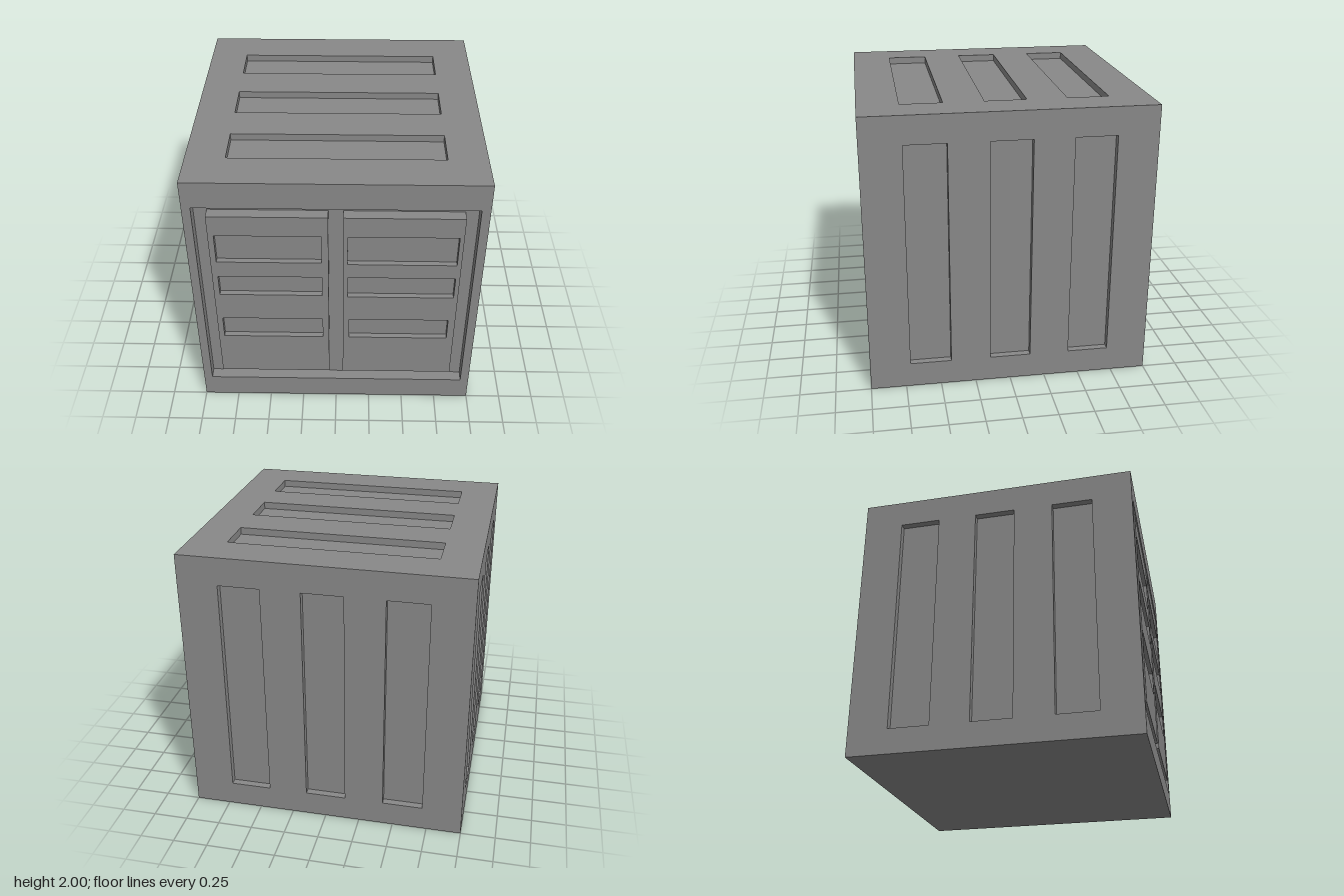
import * as THREE from 'three';
import { mergeGeometries } from 'three/addons/utils/BufferGeometryUtils.js';

const material = new THREE.MeshStandardMaterial({ color: 0x888888, flatShading: true });

// Rectangles are [left, bottom, right, top]; corners run anticlockwise
const corners = ([l, b, r, t]) => [[l, b], [r, b], [r, t], [l, t]];
const points = (rect) => corners(rect).map(([x, y]) => new THREE.Vector2(x, y));

function quads(list) {
  const g = new THREE.BufferGeometry();
  const pos = list.flatMap(([a, b, c, d]) => [a, b, c, a, c, d].flat());
  g.setAttribute('position', new THREE.Float32BufferAttribute(pos, 3));
  return g;
}

// Four walls around a loop of corners, from z0 (near) to z1 (far)
const walls = (loop, z0, z1) => loop.map((p, i) => {
  const q = loop[(i + 1) % 4];
  return [[...p, z1], [...q, z1], [...q, z0], [...p, z0]];
});

// Flat face at z = 1 with sunken rectangular pockets; rim adds outer walls behind it
function pocketedFace(name, outer, pockets, depth, rim = 0) {
  const shape = new THREE.Shape(points(outer));
  const list = rim ? walls(corners(outer), 1, 1 - rim) : [];
  for (const rect of pockets) {
    const loop = corners(rect);
    shape.holes.push(new THREE.Path(points(rect).reverse()));
    list.push(...walls([...loop].reverse(), 1, 1 - depth));
    list.push(loop.map((p) => [...p, 1 - depth]));
  }
  const flat = new THREE.ShapeGeometry(shape).toNonIndexed().translate(0, 0, 1);
  flat.deleteAttribute('uv');
  flat.deleteAttribute('normal');
  const geometry = list.length ? mergeGeometries([flat, quads(list)]) : flat;
  geometry.computeVertexNormals();
  const mesh = new THREE.Mesh(geometry, material);
  mesh.name = name;
  return mesh;
}

export function createModel() {
  const model = new THREE.Group();
  model.name = 'container';
  const body = new THREE.Group();
  body.name = 'body';
  body.position.y = 1; // faces are laid out around the cube's centre
  model.add(body);

  const full = [-1, -1, 1, 1];
  const bands = [[-0.715, -0.425], [-0.145, 0.145], [0.425, 0.715]];
  const upright = bands.map(([a, b]) => [a, -0.82, b, 0.8]);
  const lengthwise = bands.map(([a, b]) => [-0.73, a, 0.73, b]);
  const recess = 0.08, groove = 0.05;

  // Cube faces: door recess in front, three grooves on the sides, back and roof
  const front = pocketedFace('frontFrame', full, [[-0.94, -0.82, 0.94, 0.8]], recess);
  const back = pocketedFace('backWall', full, upright, groove);
  back.rotation.y = Math.PI;
  const left = pocketedFace('leftWall', full, upright, groove);
  left.rotation.y = Math.PI / 2;
  const right = pocketedFace('rightWall', full, upright, groove);
  right.rotation.y = -Math.PI / 2;
  const roof = pocketedFace('roof', full, lengthwise, groove);
  roof.rotation.x = -Math.PI / 2;
  const floor = pocketedFace('floor', full, [], 0);
  floor.rotation.x = Math.PI / 2;
  body.add(front, back, left, right, roof, floor);

  // Pair of doors, flush with the frame, each with three sunken panels
  body.add(pocketedFace('rightDoor', [-0.85, -0.73, -0.05, 0.73], [
    [-0.81, 0.34, -0.095, 0.57],
    [-0.81, 0.04, -0.095, 0.21],
    [-0.81, -0.37, -0.095, -0.19],
  ], 0.04, recess));
  body.add(pocketedFace('leftDoor', [0.05, -0.73, 0.85, 0.73], [
    [0.08, 0.33, 0.82, 0.57],
    [0.08, 0.03, 0.82, 0.21],
    [0.095, -0.37, 0.8, -0.19],
  ], 0.04, recess));

  return model;
}
